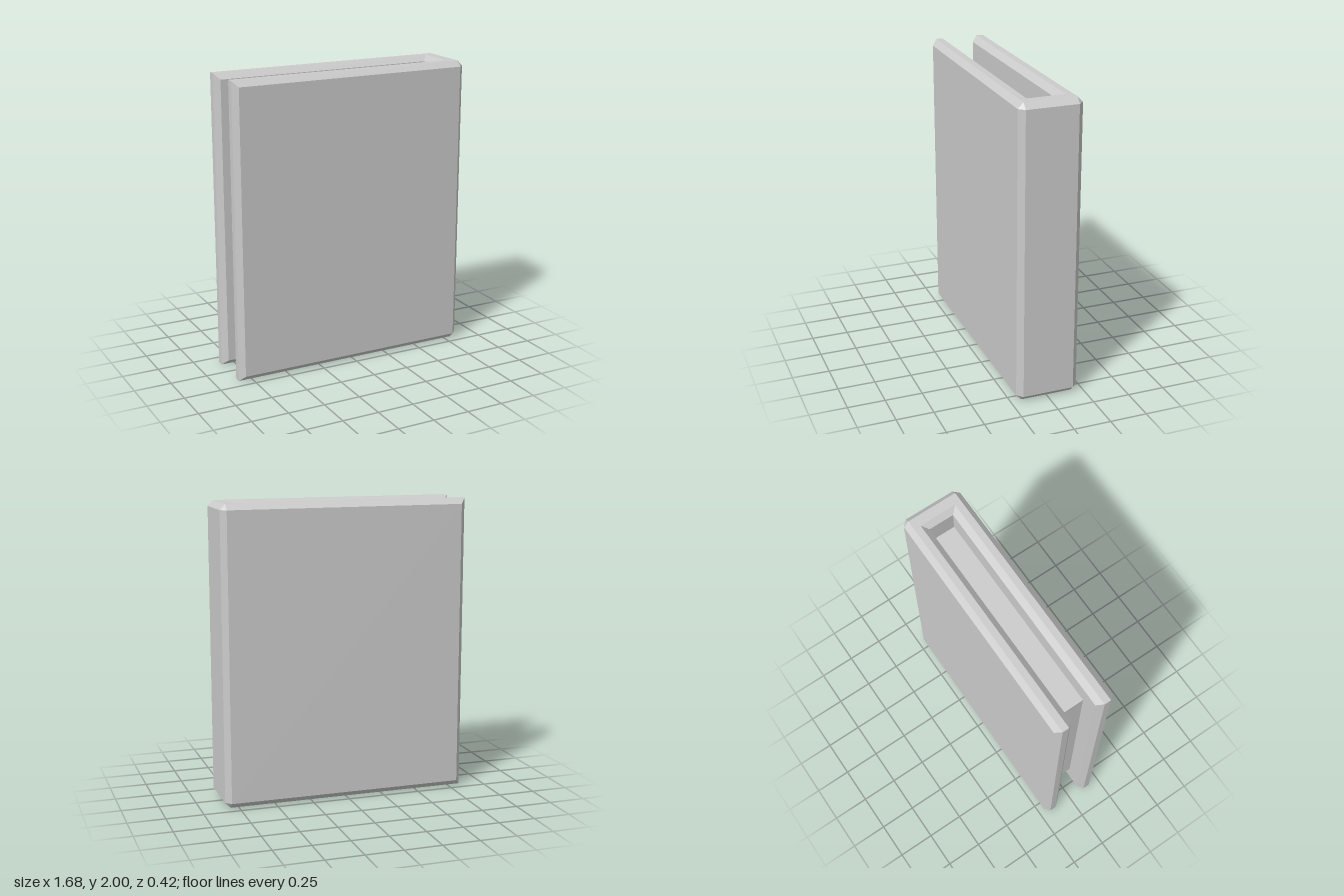
import * as THREE from 'three';

const HEIGHT = 2, BEVEL = 0.037;

// Half outlines [x, z] of the U-shaped cover, from the inner spine corner, round the open edge, to the outer spine.
const BODY = [[0.70, 0.087], [-0.805, 0.087], [-0.84, 0.127], [-0.84, 0.173], [-0.805, 0.21], [0.803, 0.21], [0.84, 0.173]];
const RIM = [[0.735, 0.127], [-0.84, 0.127], [-0.84, 0.127], [-0.84, 0.173], [-0.84, 0.173], [0.803, 0.173], [0.803, 0.173]];

// Complete an outline by mirroring it front to back
const mirrored = (half) => [...half, ...half.map(([x, z]) => [x, -z]).reverse()];

function coverGeometry() {
  const levels = [[RIM, 0], [BODY, BEVEL], [BODY, HEIGHT - BEVEL], [RIM, HEIGHT]];
  const rings = levels.map(([half, y]) => mirrored(half).map(([x, z]) => new THREE.Vector3(x, y, z)));
  const n = rings[0].length;
  const positions = [];
  const tri = (a, b, c) => {
    const area = b.clone().sub(a).cross(c.clone().sub(a)).length();
    if (area > 1e-7) for (const p of [a, b, c]) positions.push(p.x, p.y, p.z);
  };
  const quad = (a, b, c, d) => { tri(a, b, c); tri(a, c, d); };

  // Walls and bevels between neighbouring levels
  for (let k = 0; k < rings.length - 1; k++) {
    const low = rings[k], high = rings[k + 1];
    for (let i = 0; i < n; i++) {
      const j = (i + 1) % n;
      quad(low[i], low[j], high[j], high[i]);
    }
  }

  // Flat rims: front board, spine, back board
  const bottom = rings[0], top = rings[3];
  for (const [a, b, c, d] of [[0, 2, 3, 5], [0, 5, 8, 13], [8, 10, 11, 13]]) {
    quad(top[a], top[b], top[c], top[d]);
    quad(bottom[d], bottom[c], bottom[b], bottom[a]);
  }

  const geometry = new THREE.BufferGeometry();
  geometry.setAttribute('position', new THREE.Float32BufferAttribute(positions, 3));
  geometry.computeVertexNormals();
  return geometry;
}

export function createModel() {
  const group = new THREE.Group();
  group.name = 'book';
  const material = new THREE.MeshStandardMaterial({ color: 0xcccccc, flatShading: true });

  // Bevelled front board, spine and back board in one piece
  const cover = new THREE.Mesh(coverGeometry(), material);
  cover.name = 'cover';
  group.add(cover);

  // Page block, recessed on its three open sides
  const pages = new THREE.Mesh(new THREE.BoxGeometry(1.4, 1.6, 0.174), material);
  pages.name = 'pages';
  pages.position.y = HEIGHT / 2;
  group.add(pages);

  return group;
}
